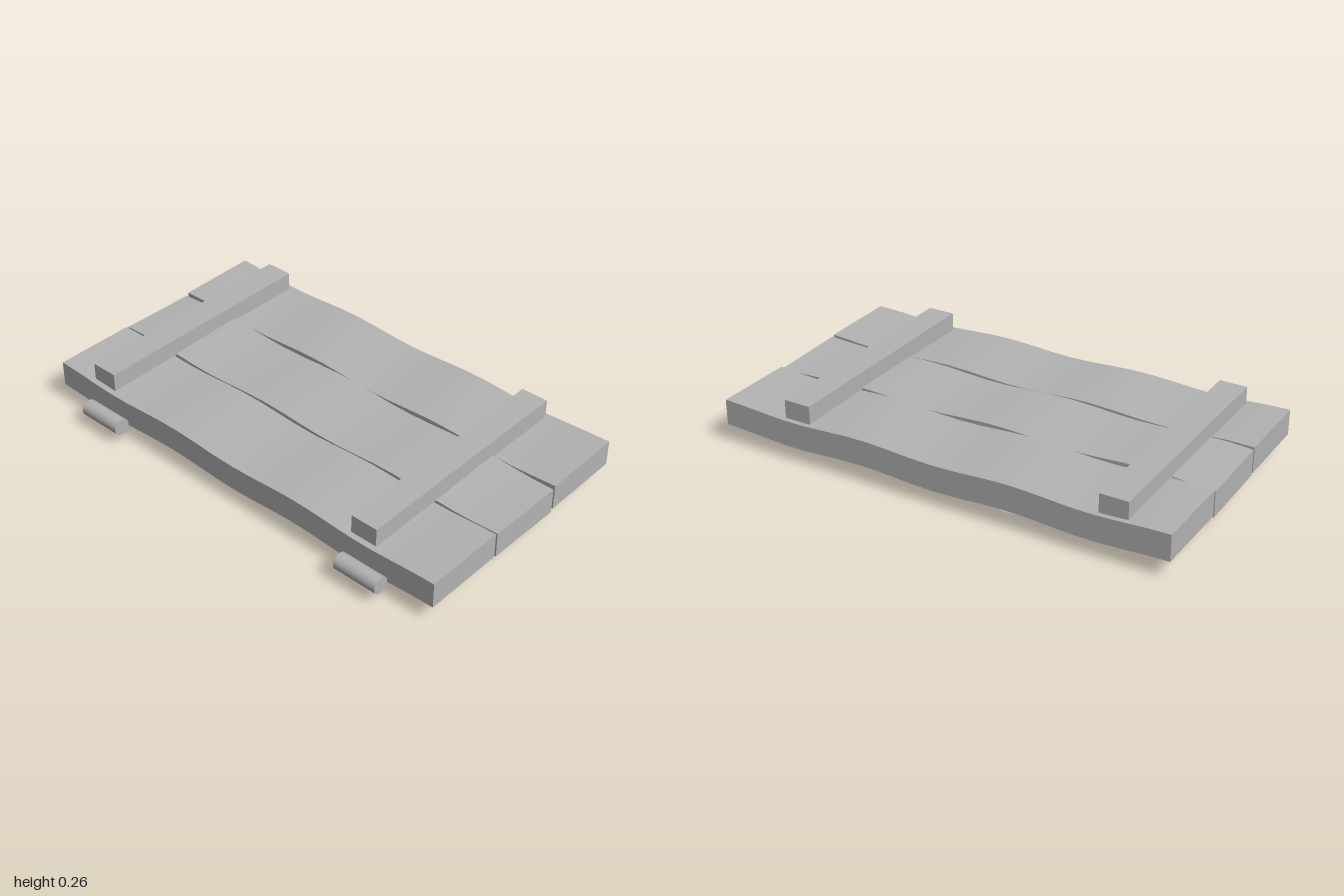
import * as THREE from 'three';

export function createModel() {
  const door = new THREE.Group();
  door.name = 'plankDoor';
  const grey = new THREE.MeshStandardMaterial({ color: 0xb3b3b3 });
  grey.name = 'plainGrey';
  const greyThin = grey.clone();
  greyThin.side = THREE.DoubleSide;

  function add(name, geometry, x, y, z, parent = door, material = grey) {
    const mesh = new THREE.Mesh(geometry, material);
    mesh.name = name;
    mesh.position.set(x, y, z);
    parent.add(mesh);
    return mesh;
  }

  // Warped planks: long boxes whose height follows a wave along z
  function plank(name, x0, x1, phase, twist) {
    const geo = new THREE.BoxGeometry(x1 - x0, 0.112, 2, 1, 1, 20);
    const pos = geo.attributes.position;
    for (let i = 0; i < pos.count; i++) {
      const side = Math.sign(pos.getX(i));
      const wave = Math.cos(Math.PI * 3 * (1 - pos.getZ(i)) + phase + side * twist);
      pos.setY(i, pos.getY(i) + 0.0075 * wave);
    }
    geo.computeVertexNormals();
    add(name, geo, (x0 + x1) / 2, 0.128, 0);
  }
  plank('rightPlank', -0.51, -0.15, 0.3, 0.35);
  plank('middlePlank', -0.14, 0.21, 2.0, 0.6);
  plank('leftPlank', 0.22, 0.582, 0.45, -0.45);

  // Cross battens on the upper face
  for (const [name, z] of [['backBatten', -0.76], ['frontBatten', 0.65]]) {
    add(name, new THREE.BoxGeometry(1.045, 0.08, 0.12), 0.0375, 0.218, z);
  }

  // Strap hinges on the lower face: strap, pin barrel and rivets
  for (const [name, strapZ, pinZ] of [['backHinge', -0.71, -0.7], ['frontHinge', 0.67, 0.69]]) {
    const hinge = new THREE.Group();
    hinge.name = name;
    door.add(hinge);
    add('strap', new THREE.BoxGeometry(0.93, 0.026, 0.12), -0.065, 0.058, strapZ, hinge);
    const barrel = add('barrel', new THREE.CylinderGeometry(0.036, 0.036, 0.2, 24), -0.549, 0.08, pinZ, hinge);
    barrel.rotation.x = Math.PI / 2;
    for (let i = 0; i < 5; i++) {
      add('rivet', new THREE.CylinderGeometry(0.016, 0.016, 0.006, 12), 0.355 - i * 0.199, 0.0455, strapZ, hinge);
    }
  }

  // Latch bar and flat pull ring underneath
  add('latchBar', new THREE.BoxGeometry(0.21, 0.03, 0.055), 0.385, 0.03, -0.097);
  const ring = add('pullRing', new THREE.RingGeometry(0.07, 0.095, 32), 0.385, 0, -0.265, door, greyThin);
  ring.rotation.x = Math.PI / 2;

  return door;
}
